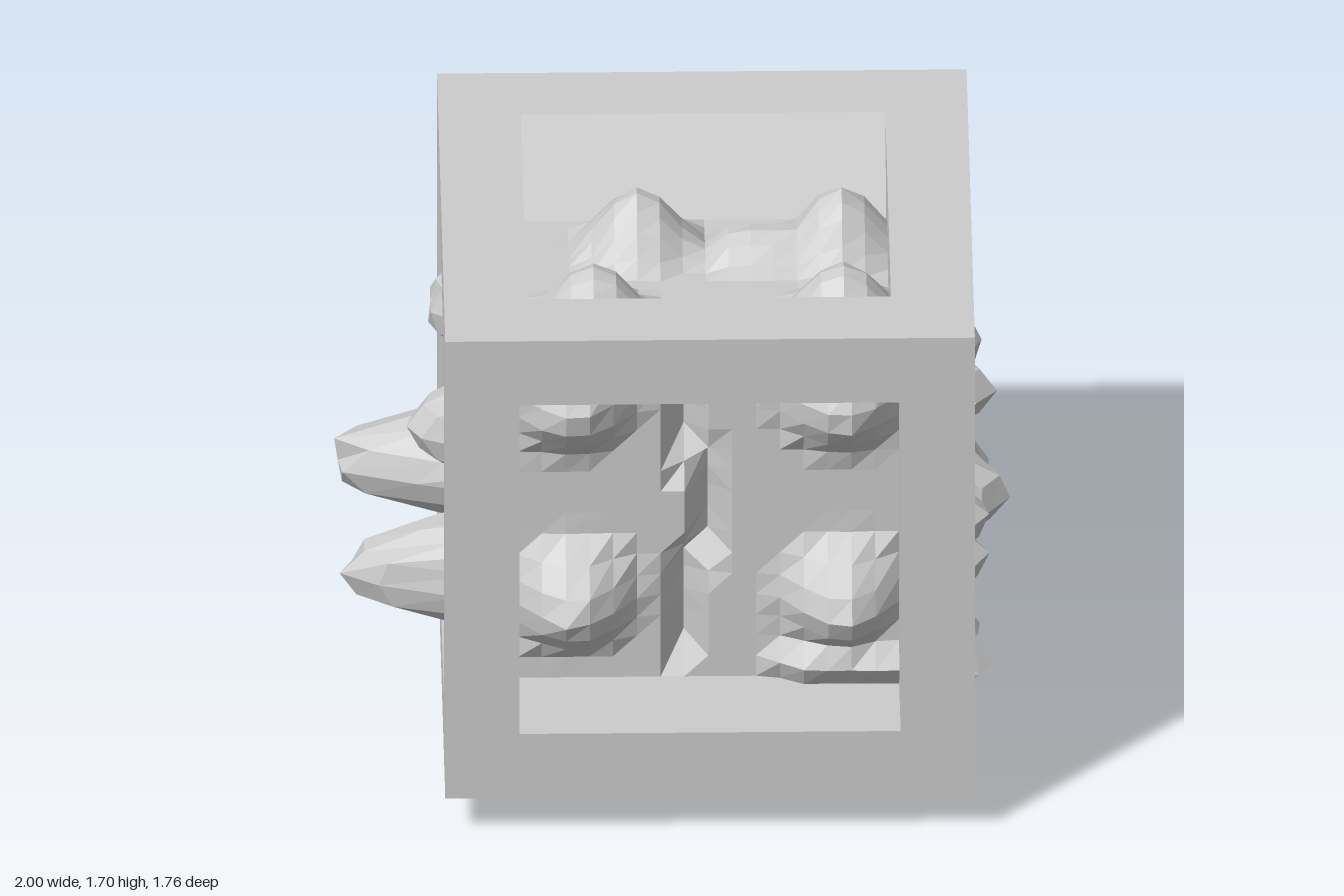
import * as THREE from 'three';

const HALF = 0.785;   // half the cube's edge
const CELLS = 16;     // terrain grid per side
const Q = Math.PI / 2;
const material = new THREE.MeshStandardMaterial({ color: 0xcccccc, flatShading: true, side: THREE.DoubleSide });

// small repeatable noise, 0..1
const noise = (a, b) => {
  const s = Math.sin(a * 12.9898 + b * 78.233) * 43758.5453;
  return s - Math.floor(s);
};

// a ridge rises from the recess floor; its top is measured from the outer face
const ridge = (u0, v0, u1, v1, r, top, blunt = 2) =>
  ({ line: new THREE.Line3(new THREE.Vector3(u0, v0), new THREE.Vector3(u1, v1)), r, top, blunt });
const peak = (u, v, r, top, blunt = 1.8) => ridge(u, v, u, v, r, top, blunt);

// a low ridge with evenly spaced peaks on it, changing height from top0 to top1
function peakRow(u0, v0, u1, v1, r, top0, top1, count) {
  const row = [ridge(u0, v0, u1, v1, r, Math.min(top0, top1) - 0.05, 2.5)];
  for (let i = 0; i < count; i++) {
    const t = i / (count - 1), { lerp } = THREE.MathUtils;
    row.push(peak(lerp(u0, u1, t), lerp(v0, v1, t), r, lerp(top0, top1, t), 2.5));
  }
  return row;
}

// highest lump plus deepest crack at a grid point
function height(u, v, depth, lumps) {
  const point = new THREE.Vector3(u, v), near = new THREE.Vector3();
  let up = 0, down = 0;
  for (const l of lumps) {
    if (l.line.distanceSq() === 0) near.copy(l.line.start);
    else l.line.closestPointToPoint(point, true, near);
    const d = Math.min(1, near.distanceTo(point) / l.r);
    const h = (depth + l.top) * Math.pow(1 - Math.pow(d, l.blunt), 1.5);
    up = Math.max(up, h);
    down = Math.min(down, h);
  }
  return up + down;
}

// flat square border around the opening
function border(w) {
  const square = (P, s) => new P([[-s, -s], [s, -s], [s, s], [-s, s]].map(p => new THREE.Vector2(...p)));
  const shape = square(THREE.Shape, HALF);
  shape.holes.push(square(THREE.Path, w));
  return new THREE.ShapeGeometry(shape).translate(0, 0, HALF);
}

// four walls from the opening down to the recess floor
function walls(w, floorV, depth) {
  const pos = [], idx = [];
  [[-1, -1], [1, -1], [1, 1], [-1, 1]].forEach(([a, b], i) => {
    pos.push(a * w, b * w, HALF, a * w, b * floorV, HALF - depth);
    const o = i * 2, n = ((i + 1) % 4) * 2;
    idx.push(o, n, o + 1, n, n + 1, o + 1);
  });
  const g = new THREE.BufferGeometry();
  g.setAttribute('position', new THREE.Float32BufferAttribute(pos, 3));
  g.setIndex(idx);
  g.computeVertexNormals();
  return g;
}

// rocky floor of a recess
function terrain(w, floorV, depth, lumps) {
  const g = new THREE.PlaneGeometry(2 * w, 2 * floorV, CELLS, CELLS);
  const p = g.attributes.position;
  for (let i = 0; i < p.count; i++) {
    const u = p.getX(i), v = p.getY(i);
    const h = height(u, v, depth, lumps) * (1 - 0.1 * noise(u, v));
    p.setZ(i, HALF - depth + h);
  }
  g.computeVertexNormals();
  return g;
}

// one side of the cube, built facing +z and turned into place
function face(name, rx, ry, w, depth, lumps, floorV = w) {
  const group = new THREE.Group();
  group.name = name + 'Face';
  const add = (part, g) => {
    const m = new THREE.Mesh(g, material);
    m.name = name + part;
    group.add(m);
  };
  add('Border', border(w));
  add('RecessWalls', walls(w, floorV, depth));
  add('Terrain', terrain(w, floorV, depth, lumps));
  group.rotation.set(rx, ry, 0);
  return group;
}

// four knobs around a zigzag crack
function frontFace() {
  const lumps = [ridge(0.28, -0.5, 0.56, -0.5, 0.11, -0.23)];
  for (const side of [-1, 1]) {
    lumps.push(peak(side * 0.4, 0.4, 0.22, -0.14), peak(side * 0.4, -0.28, 0.22, -0.12));
  }
  for (const i of [-1, 0, 1]) {
    const u = i === 0 ? 0 : -0.07, v = i * 0.34;
    lumps.push(ridge(u, v - 0.15, u, v + 0.15, 0.07, -0.5));
  }
  return face('front', 0, 0, 0.565, 0.33, lumps);
}

// knobbly rows, one above the other
function leftFace() {
  return face('left', 0, Q, 0.6, 0.17, [
    ...peakRow(-0.52, 0.45, 0.38, 0.43, 0.17, 0.08, -0.01, 4),
    ...peakRow(-0.46, -0.17, -0.2, -0.17, 0.16, 0.06, 0.06, 2),
    ...peakRow(0, -0.21, 0.55, -0.28, 0.19, 0.13, -0.03, 4),
    ...peakRow(-0.46, -0.52, -0.05, -0.52, 0.14, 0.08, 0.02, 3),
  ]);
}

// tall horn on a slanting heap, with an upright ridge beside it
function backFace() {
  return face('back', 0, 2 * Q, 0.565, 0.22, [
    peak(-0.21, -0.07, 0.25, 0.2, 1.5),
    ridge(0.16, 0.44, 0.14, -0.35, 0.18, -0.06),
    ridge(-0.52, -0.05, 0.45, -0.42, 0.25, 0.01),
    ridge(-0.48, -0.36, 0.3, -0.36, 0.24, 0.04),
  ]);
}

// long blunt horns below, shorter ones above
function rightFace() {
  const lumps = [];
  for (const side of [-1, 1]) {
    lumps.push(peak(side * 0.32 - 0.05, -0.29, 0.21, 0.325 - side * 0.015, 3));
    lumps.push(peak(side * 0.36 + 0.07, 0.29, 0.2, 0.08 + side * 0.03, 3));
  }
  return face('right', 0, -Q, 0.59, 0.19, lumps);
}

// four rounded hills between sloping end walls
function topFace() {
  return face('top', -Q, 0, 0.54, 0.26, [
    peak(-0.2, 0.2, 0.21, -0.05), peak(-0.34, -0.23, 0.21, -0.06),
    peak(0.4, 0.18, 0.21, -0.04), peak(0.4, -0.23, 0.21, -0.06),
    ridge(0.1, 0.15, 0.38, 0.16, 0.14, -0.16),
  ], 0.36);
}

// two jagged ridges joined by a cross ridge
function bottomFace() {
  const lumps = [ridge(-0.48, 0.07, 0.48, 0.07, 0.16, 0.075)];
  for (const side of [-1, 1]) {
    const u = 0.09 + side * 0.38, top = 0.11 - side * 0.03;
    lumps.push(ridge(u, 0.4, u, -0.47, 0.18, 0.01));
    for (const v of [-0.47, 0.07, 0.4]) lumps.push(peak(u, v, 0.17, v === 0.07 ? top : top - 0.03));
  }
  return face('bottom', Q, 0, 0.56, 0.22, lumps);
}

export function createModel() {
  const model = new THREE.Group();
  model.name = 'rockyCube';
  const cube = new THREE.Group();
  cube.name = 'cube';
  cube.add(frontFace(), leftFace(), backFace(), rightFace(), topFace(), bottomFace());
  cube.position.set(0.105, 0.915, 0.09);
  model.add(cube);
  return model;
}
